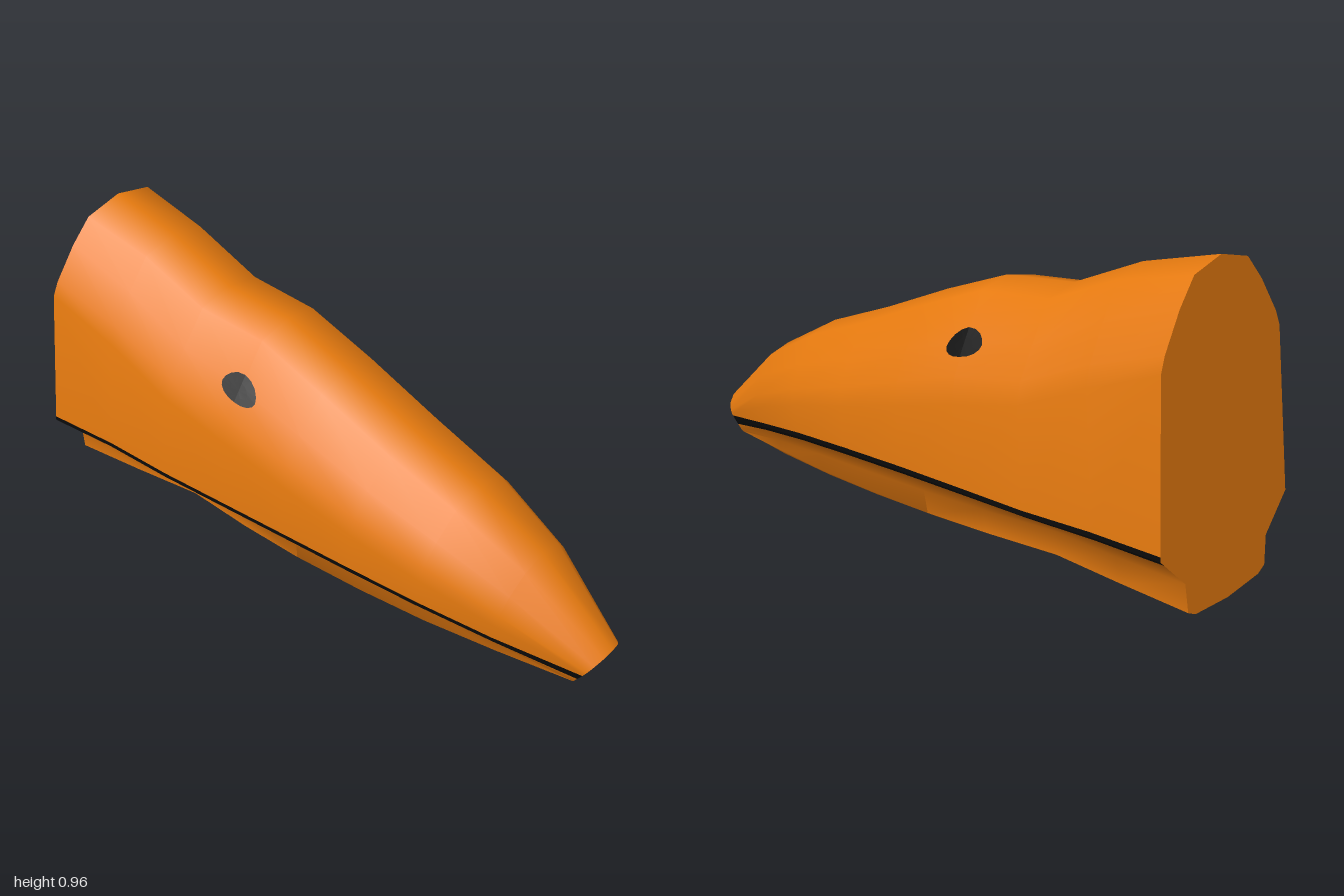
import * as THREE from 'three';
import { toCreasedNormals } from 'three/addons/utils/BufferGeometryUtils.js';

// Stations from the neck (-x) to the snout tip (+x); each leans forward towards its top
const topX = [-0.92, -0.68, -0.45, -0.21, 0.02, 0.27, 0.51, 0.74, 0.995];
const botX = [-1, -0.76, -0.52, -0.28, -0.05, 0.2, 0.43, 0.67, 0.91];
const topY = [0.96, 0.9, 0.8, 0.78, 0.695, 0.59, 0.5, 0.375, 0.15];
const mouthY = [0.22, 0.21, 0.2, 0.2, 0.198, 0.188, 0.17, 0.13, 0.068];
const botY = [0.008, 0.01, 0.01, 0.008, 0.004, 0, 0, 0.003, 0.018];
const width = [0.315, 0.292, 0.285, 0.277, 0.27, 0.255, 0.23, 0.175, 0.08];
const jaw = [0.205, 0.18, 0.15, 0.17, 0.178, 0.17, 0.152, 0.118, 0.07];

// Skull outline from crest to mouth corner: share of half width, share of height above the mouth
const neck = [[0, 1], [0.41, 0.96], [0.63, 0.86], [0.86, 0.72], [0.92, 0.66], [1, 0]];
const brow = [[0, 1], [0.42, 0.96], [0.73, 0.73], [0.93, 0.58], [1, 0.45], [1, 0]];
const tip = [[0, 1], [0.5, 0.9], [0.82, 0.66], [0.98, 0.4], [1, 0.23], [0.96, 0]];

const lerp = THREE.MathUtils.lerp;
const mix = (a, b, t) => [lerp(a[0], b[0], t), lerp(a[1], b[1], t)];

// Half cross-section on the +z side, crest to chin
function section(i) {
  const M = mouthY[i], T = topY[i];
  const p = neck.map((n, k) => {
    const [w, h] = i < 3 ? mix(n, brow[k], i / 3) : mix(brow[k], tip[k], (i - 3) / 5);
    return [w * width[i], lerp(M, T, h)];
  });
  const mouth = p[5];
  const cheek = [jaw[i], M * 0.55];
  const upperLip = mix(mouth, p[4], 0.014 / (p[4][1] - M));
  const lowerLip = mix(mouth, cheek, 0.014 / (M - cheek[1]));
  const low = Math.min(0.035, M * 0.42);
  const half = [...p.slice(0, 5), upperLip, mouth, lowerLip, cheek,
    [jaw[i] * 0.95, low], [jaw[i] * 0.78, lerp(low, botY[i], 0.6)], [0, botY[i]]];
  return half.map(([z, y]) =>
    new THREE.Vector3(lerp(botX[i], topX[i], (y - botY[i]) / (T - botY[i])), y, z));
}
const rings = topX.map((_, i) => section(i));

// Point on the +z surface at station s and outline position t
function surface(s, t) {
  const i = Math.min(Math.floor(s), 7), j = Math.min(Math.floor(t), 10);
  const a = rings[i][j].clone().lerp(rings[i][j + 1], t - j);
  const b = rings[i + 1][j].clone().lerp(rings[i + 1][j + 1], t - j);
  return a.lerp(b, s - i);
}

// Adds a triangle, mirrored to -z when m is -1
function tri(out, a, b, c, m = 1) {
  for (const v of m > 0 ? [a, b, c] : [a, c, b]) out.push(v.x, v.y, v.z * m);
}

function meshFrom(name, pos, material, crease) {
  let g = new THREE.BufferGeometry();
  g.setAttribute('position', new THREE.Float32BufferAttribute(pos, 3));
  g.computeVertexNormals();
  if (crease) g = toCreasedNormals(g, crease);
  const mesh = new THREE.Mesh(g, material);
  mesh.name = name;
  return mesh;
}

// Skin between outline positions j0 and j1, both sides
function skin(j0, j1) {
  const out = [];
  for (const m of [1, -1])
    for (let i = 0; i < 8; i++)
      for (let j = j0; j < j1; j++) {
        const a = rings[i][j], b = rings[i + 1][j], c = rings[i + 1][j + 1], d = rings[i][j + 1];
        tri(out, a, d, c, m);
        tri(out, a, c, b, m);
      }
  return out;
}

// Flat end cap over a station
function cap(i, facing) {
  const out = [], r = rings[i];
  const centre = r[0].clone().lerp(r[11], 0.5);
  for (const m of [1, -1])
    for (let j = 0; j < 11; j++) tri(out, centre, r[j + 1], r[j], -facing * m > 0 ? 1 : -1);
  // one half of the triangles belongs on each side, so set the z sign explicitly
  const half = out.length / 2;
  for (let k = 2; k < out.length; k += 3) out[k] = Math.abs(out[k]) * (k < half ? 1 : -1);
  return out;
}

// Oval eye plate hugging the skin
function eye(m) {
  const out = [], n = 16;
  const normal = new THREE.Vector3(0.15, 0.55, 0.8).normalize().multiplyScalar(0.006);
  const at = (k, r) => {
    const a = (k / n) * Math.PI * 2;
    return surface(2.99 + Math.cos(a) * 0.28 * r, 2.08 + Math.sin(a) * 0.36 * r).add(normal);
  };
  for (let k = 0; k < n; k++) {
    tri(out, at(0, 0), at(k + 1, 0.5), at(k, 0.5), m);
    tri(out, at(k, 0.5), at(k + 1, 1), at(k, 1), m);
    tri(out, at(k, 0.5), at(k + 1, 0.5), at(k + 1, 1), m);
  }
  return out;
}

export function createModel() {
  const orange = new THREE.MeshStandardMaterial({ color: 0xe67a0f });
  orange.name = 'orange';
  const black = new THREE.MeshStandardMaterial({ color: 0x0a0a0a, side: THREE.DoubleSide });
  black.name = 'black';

  const head = new THREE.Group();
  head.name = 'head';
  head.add(
    meshFrom('skull', skin(0, 5), orange, 0.9),
    meshFrom('mouthLine', skin(5, 7), black),
    meshFrom('lowerJaw', skin(7, 11), orange, 0.9),
    meshFrom('neckCap', cap(0, -1), orange),
    meshFrom('snoutCap', cap(8, 1), orange),
    meshFrom('leftEye', eye(1), black),
    meshFrom('rightEye', eye(-1), black),
  );
  return head;
}
